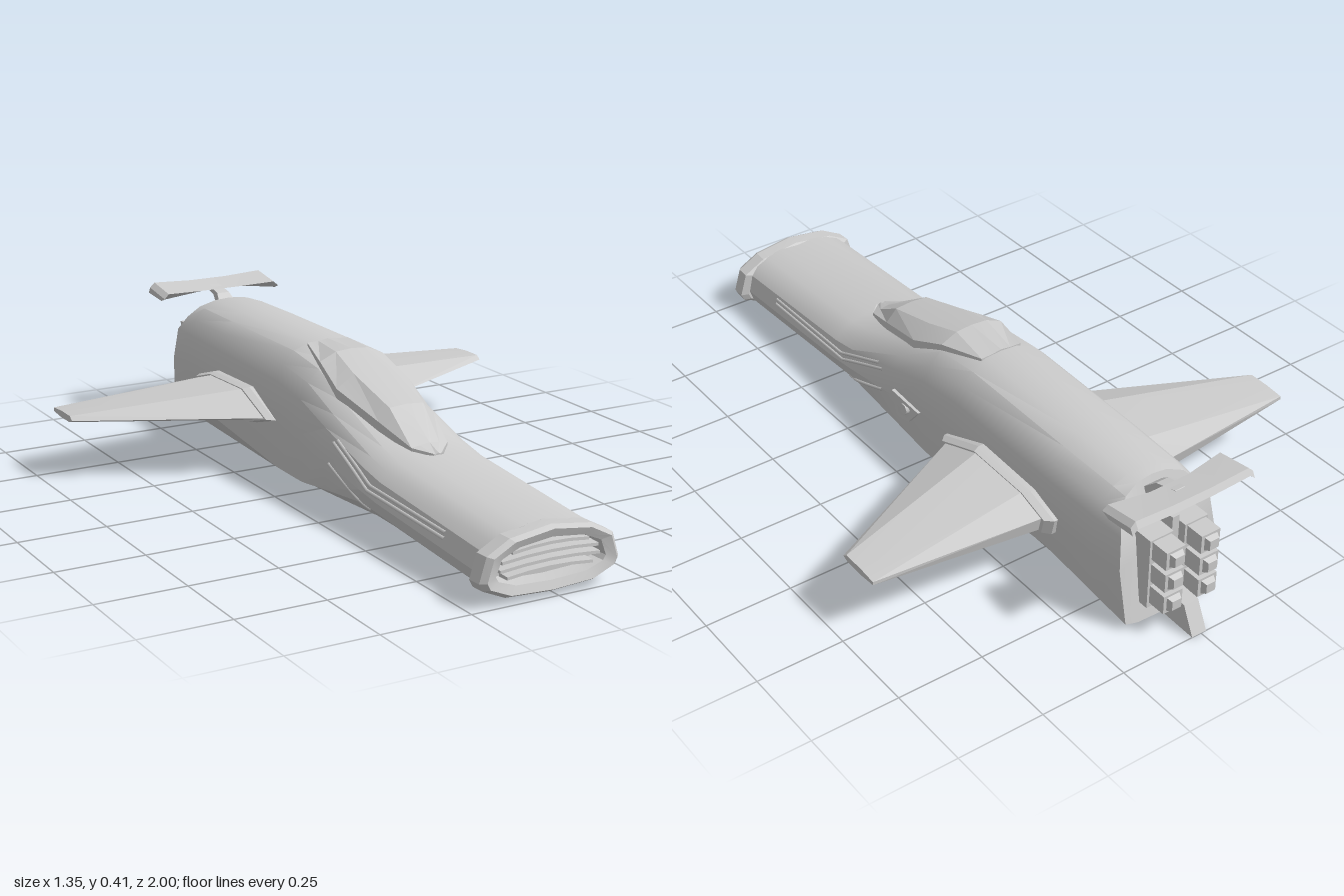
import * as THREE from 'three';
import { toCreasedNormals } from 'three/addons/utils/BufferGeometryUtils.js';

const V = (x, y, z) => new THREE.Vector3(x, y, z);
const material = new THREE.MeshStandardMaterial({ color: 0xcccccc });

// Skin a row of closed rings, capping both ends; faces always point outward
function loft(rings, crease = 0.45) {
  const n = rings[0].length, pts = rings.flat(), tris = [];
  rings.slice(1).forEach((_, r) => {
    for (let i = 0; i < n; i++) {
      const a = r * n + i, b = r * n + (i + 1) % n;
      tris.push([a, b, b + n], [a, b + n, a + n]);
    }
  });
  [0, rings.length - 1].forEach((r, end) => {
    const c = rings[r].reduce((s, p) => s.add(p), V(0, 0, 0)).divideScalar(n);
    const k = pts.push(c) - 1;
    for (let i = 0; i < n; i++) {
      const a = r * n + i, b = r * n + (i + 1) % n;
      tris.push(end ? [a, b, k] : [b, a, k]);
    }
  });
  const volume = tris.reduce((s, [a, b, c]) => s + pts[a].dot(V(0, 0, 0).crossVectors(pts[b], pts[c])), 0);
  const geo = new THREE.BufferGeometry().setFromPoints(pts);
  geo.setIndex((volume < 0 ? tris.map(([a, b, c]) => [a, c, b]) : tris).flat());
  return toCreasedNormals(geo, crease);
}

// Hull stations: z, half width, keel y, chine y, widest y, top y
const stations = [
  [0.95, 0.18, 0.02, 0.045, 0.08, 0.182],
  [0.45, 0.18, 0.033, 0.075, 0.11, 0.217],
  [0.36, 0.179, 0.034, 0.08, 0.12, 0.237],
  [0.15, 0.176, 0.02, 0.055, 0.15, 0.31],
  [0, 0.173, 0.01, 0.035, 0.17, 0.372],
  [-0.15, 0.171, 0.005, 0.034, 0.185, 0.39],
  [-0.55, 0.168, 0.006, 0.07, 0.19, 0.386],
  [-0.75, 0.162, 0.008, 0.045, 0.19, 0.383],
  [-0.88, 0.155, 0.01, 0.025, 0.19, 0.378],
];
const centreX = z => -0.006 - 0.013 * z;

// Half section from keel to crown, as [x, y]
function halfSection([, w, keel, chine, mid, top]) {
  const up = t => mid + t * (top - mid);
  return [[0, keel], [0.68 * w, keel + 0.004], [0.93 * w, chine], [w, mid], [0.93 * w, up(0.5)],
    [0.8 * w, up(0.72)], [0.6 * w, up(0.89)], [0.3 * w, up(0.98)], [0, top]];
}
function hullRing(station, zOf = () => station[0]) {
  const half = halfSection(station);
  const all = [...half, ...half.slice(1, -1).reverse().map(([x, y]) => [-x, y])];
  return all.map(([x, y]) => V(x + centreX(station[0]), y, zOf(y)));
}
function sectionAt(z) {
  const i = Math.max(1, stations.findIndex(s => s[0] <= z));
  const a = stations[i - 1], b = stations[i], t = (z - a[0]) / (b[0] - a[0]);
  return halfSection(a.map((v, k) => v + t * (b[k] - v)));
}
// Look up hull half width at a height, or hull top height at an offset
function hullLookup(z, value, key) {
  const s = sectionAt(z), first = key === 1 ? 0 : 3;
  for (let i = first; i < s.length - 1; i++) {
    const p = s[i], q = s[i + 1], d = q[key] - p[key];
    const t = d ? (value - p[key]) / d : -1;
    if (t >= 0 && t <= 1) return p[1 - key] + t * (q[1 - key] - p[1 - key]);
  }
  return s[3][1 - key];
}

export function createModel() {
  const model = new THREE.Group();
  const add = (name, geometry, parent = model) => {
    const mesh = new THREE.Mesh(geometry, material);
    mesh.name = name;
    parent.add(mesh);
    return mesh;
  };
  const box = (name, w, h, d, x, y, z, parent) =>
    add(name, new THREE.BoxGeometry(w, h, d), parent).position.set(x, y, z);

  // Fuselage, with a raked tail face
  const rakedTail = y => y > 0.28 ? -0.85 + (y - 0.28) * 0.68 : -0.885 + y * 0.125;
  add('fuselage', loft(stations.map((s, i) =>
    hullRing(s, i === stations.length - 1 ? rakedTail : undefined))));

  // Flared nose rim turning inward to a recessed intake
  const rimHalf = [[0, 0.015], [0.13, 0.022], [0.195, 0.05], [0.205, 0.07], [0.185, 0.135], [0.12, 0.17], [0, 0.187]];
  const rimRing = (z, sx, sy) => [...rimHalf, ...rimHalf.slice(1, -1).reverse().map(([x, y]) => [-x, y])]
    .map(([x, y]) => V(-0.018 + x * sx, 0.102 + (y - 0.102) * sy, z));
  add('noseRim', loft([rimRing(0.935, 0.9, 0.94), rimRing(0.945, 1, 1), rimRing(0.985, 0.99, 1),
    rimRing(1, 0.92, 0.9), rimRing(0.992, 0.78, 0.64), rimRing(0.952, 0.74, 0.58)], 0.3));

  // Intake slats, bowed like the rim
  const grille = new THREE.Group();
  grille.name = 'intakeGrille';
  model.add(grille);
  [[0.07, 0.125], [0.09, 0.145], [0.111, 0.14], [0.132, 0.11]].forEach(([y, w]) => {
    const slat = [-1, -0.5, 0, 0.5, 1].map(t => {
      const h = y + 0.008 * (1 - t * t), x = t * w - 0.018;
      return [V(x, h - 0.005, 0.945), V(x, h + 0.005, 0.945), V(x, h + 0.004, 0.988), V(x, h - 0.004, 0.988)];
    });
    add('intakeSlat', loft(slat), grille);
  });

  // Canopy: z, base half width, roof half width, roof y
  const canopy = [[0.465, 0.015, 0.008, 0.222], [0.42, 0.055, 0.03, 0.238], [0.3, 0.085, 0.052, 0.312],
    [0.12, 0.113, 0.06, 0.363], [0, 0.1, 0.05, 0.396], [-0.14, 0.065, 0.03, 0.393]];
  add('canopy', loft(canopy.map(([z, w, roof, y]) => {
    const base = hullLookup(z, w, 0), cx = centreX(z), lip = base + 0.35 * (y - base) + 0.003;
    return [[-w, base - 0.02], [-w, lip], [-roof, y - 0.004], [0, y], [roof, y - 0.004], [w, lip], [w, base - 0.02]]
      .map(([x, h]) => V(cx + x, h, z));
  }), 0.2));

  // Raised trim strips following the hull sides
  const strips = [
    [[0.78, 0.115], [0.4, 0.128], [0.2, 0.203]],
    [[0.78, 0.13], [0.41, 0.143], [0.22, 0.213]],
    [[0.39, 0.07], [0.36, 0.077], [0.19, 0.143]],
  ];
  for (const side of [-1, 1]) {
    for (const path of strips) {
      const points = [];
      path.slice(1).forEach((q, i) => {
        const p = path[i];
        for (let k = i ? 1 : 0; k <= 6; k++) {
          const z = p[0] + (q[0] - p[0]) * k / 6, y = p[1] + (q[1] - p[1]) * k / 6;
          points.push(V(centreX(z) + side * hullLookup(z, y, 1), y, z));
        }
      });
      add(side > 0 ? 'leftTrimStrip' : 'rightTrimStrip',
        new THREE.TubeGeometry(new THREE.CatmullRomCurve3(points, false, 'catmullrom', 0.1), 36, 0.005, 5));
    }
  }

  // Access hatch frame on the left flank, with a small latch
  const hatch = new THREE.Shape([[0.13, 0.178], [0.0, 0.172], [0.05, 0.115], [0.105, 0.105]]
    .map(([z, y]) => new THREE.Vector2(-z, y)));
  hatch.holes.push(new THREE.Path([[0.112, 0.166], [0.027, 0.162], [0.056, 0.125], [0.098, 0.117]]
    .map(([z, y]) => new THREE.Vector2(-z, y))));
  const frame = add('hatchFrame', new THREE.ExtrudeGeometry(hatch, { depth: 0.022, bevelEnabled: false }));
  frame.rotation.y = Math.PI / 2;
  frame.position.x = 0.153;
  const latch = add('hatchLatch', new THREE.CylinderGeometry(0.016, 0.02, 0.022, 6));
  latch.rotation.z = -Math.PI / 2;
  latch.position.set(0.164, 0.145, 0.073);

  // Wing section as [z, y], used at root and tip
  const root = [[-0.16, 0.18], [-0.3, 0.232], [-0.5, 0.226], [-0.59, 0.198], [-0.58, 0.155], [-0.45, 0.143], [-0.26, 0.15]];
  const tip = [[-0.4, 0.181], [-0.415, 0.192], [-0.48, 0.192], [-0.535, 0.187], [-0.535, 0.177], [-0.48, 0.172], [-0.42, 0.173]];
  for (const side of [-1, 1]) {
    const name = side > 0 ? 'left' : 'right';
    const ring = (section, x, grow = 1) =>
      section.map(([z, y]) => V(side * x, 0.188 + (y - 0.188) * grow, -0.38 + (z + 0.38) * grow));
    add(name + 'Wing', loft([ring(root, 0.14), ring(root, 0.19), ring(tip, 0.677)], 0.1));
    add(name + 'WingFairing', loft([ring(root, 0.12, 1.14), ring(root, 0.178, 1.14), ring(root, 0.198, 1.05)], 0.3));
  }

  // Tail spoiler with drooped ends on a leaning strut
  add('spoiler', loft([[-0.195, 0], [-0.18, 1], [-0.06, 2], [0.06, 2], [0.18, 1], [0.195, 0]].map(([x, k]) => {
    const front = [-0.858, -0.86, -0.876][k], low = [0.374, 0.377, 0.389][k], high = [0.4, 0.414, 0.408][k];
    return [V(x + 0.007, low, front), V(x + 0.007, high - 0.016, front + 0.025), V(x + 0.007, high, -0.94), V(x + 0.007, high - 0.018, -0.95)];
  }), 0.2));
  add('spoilerStrut', loft([[0.34, -0.77, 0.034], [0.385, -0.825, 0.02], [0.4, -0.89, 0.016]].map(([y, z, w]) =>
    [V(0.006 - w, y, z), V(0.006 + w, y, z), V(0.006 + w * 0.7, y - 0.012, z - 0.04), V(0.006 - w * 0.7, y - 0.012, z - 0.04)])));

  // Twin thruster columns, three stepped blocks each
  const thrusters = new THREE.Group();
  thrusters.name = 'thrusters';
  model.add(thrusters);
  for (const x of [-0.05, 0.062]) {
    box('thrusterBase', 0.074, 0.215, 0.07, x, 0.175, -0.865, thrusters);
    for (const y of [0.11, 0.18, 0.25]) {
      box('thrusterBlock', 0.06, 0.055, 0.08, x, y, -0.915, thrusters);
      const nozzle = add('thrusterNozzle', new THREE.CylinderGeometry(0.02, 0.034, 0.024, 4, 1), thrusters);
      nozzle.geometry.rotateY(Math.PI / 4);
      nozzle.geometry = toCreasedNormals(nozzle.geometry, 0.3);
      nozzle.rotation.x = -Math.PI / 2;
      nozzle.position.set(x, y, -0.958);
    }
  }

  // Lower tail fin and the spine between the thrusters
  add('tailFin', loft([-0.017, 0.029].map(x =>
    [[0.09, -0.86], [0.085, -0.962], [0.005, -1], [0.008, -0.86]].map(([y, z]) => V(x, y, z))), 0.2));
  box('tailSpine', 0.022, 0.24, 0.05, 0.006, 0.19, -0.86);
  return model;
}
